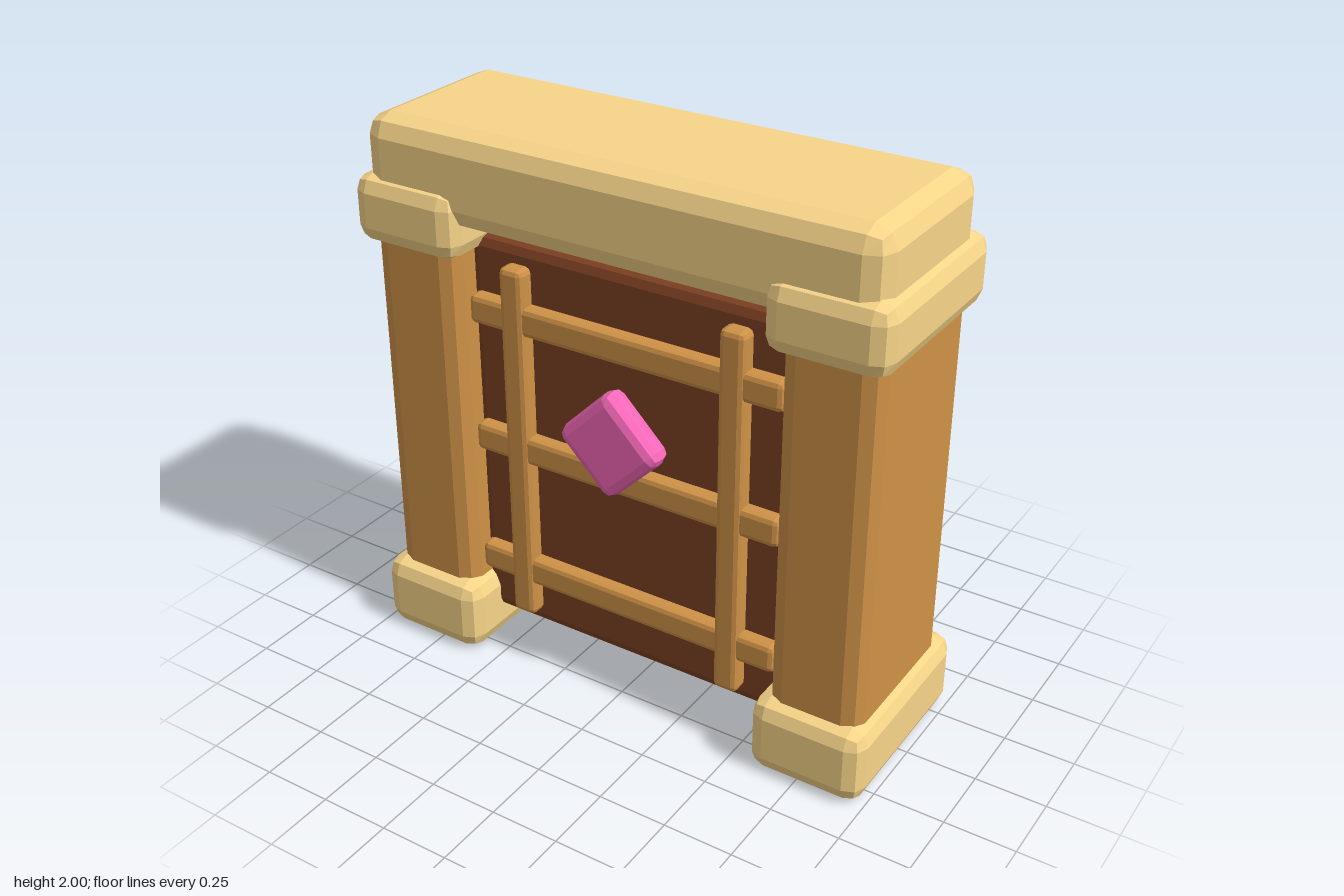
import * as THREE from 'three';
import { RoundedBoxGeometry } from 'three/addons/geometries/RoundedBoxGeometry.js';

const paint = (color) => new THREE.MeshStandardMaterial({ color, flatShading: true });

export function createModel() {
  const model = new THREE.Group();
  const stone = paint(0xf8d589);
  const wood = paint(0xce9247);
  const panelWood = paint(0x7c4022);
  const dark = paint(0x16100e);
  const pink = paint(0xf568b8);

  // Bevelled block given by its extents on each axis
  function block(name, material, [x0, x1], [y0, y1], [z0, z1], bevel) {
    const geometry = new RoundedBoxGeometry(x1 - x0, y1 - y0, z1 - z0, 1, bevel);
    const mesh = new THREE.Mesh(geometry, material);
    mesh.name = name;
    mesh.position.set((x0 + x1) / 2, (y0 + y1) / 2, (z0 + z1) / 2);
    model.add(mesh);
    return mesh;
  }

  // Top beam
  block('lintel', stone, [-0.95, 0.95], [1.66, 2], [-0.33, 0.33], 0.075);

  // Posts with a foot and a capital, mirrored left and right
  for (const [side, s] of [['left', 1], ['right', -1]]) {
    const span = (a, b) => (s > 0 ? [a, b] : [-b, -a]);
    block(side + 'Post', wood, span(0.612, 0.95), [0.001, 1.7], [-0.31, 0.31], 0.06);
    block(side + 'Foot', stone, span(0.57, 0.99), [0, 0.28], [-0.36, 0.36], 0.06);
    block(side + 'Capital', stone, span(0.57, 0.99), [1.55, 1.793], [-0.36, 0.36], 0.06);
    // Upright lattice bar
    block(side + 'LatticeUpright', wood, span(0.375, 0.468), [0.187, 1.54], [0.17, 0.258], 0.02);
  }

  // Dark core and the front panel
  block('backing', dark, [-0.64, 0.64], [0.08, 1.63], [-0.25, 0.12], 0.06);
  block('frontPanel', panelWood, [-0.63, 0.63], [0.125, 1.61], [0.02, 0.2], 0.04);

  // Cross bars of the lattice
  for (const y of [0.372, 0.866, 1.355]) {
    block('latticeCrossBar', wood, [-0.603, 0.603], [y - 0.053, y + 0.053], [0.16, 0.25], 0.02);
  }

  // Diamond ornament
  const gem = block('gem', pink, [-0.145, 0.145], [0.89, 1.18], [0.23, 0.33], 0.036);
  gem.rotation.z = Math.PI / 4;

  return model;
}
